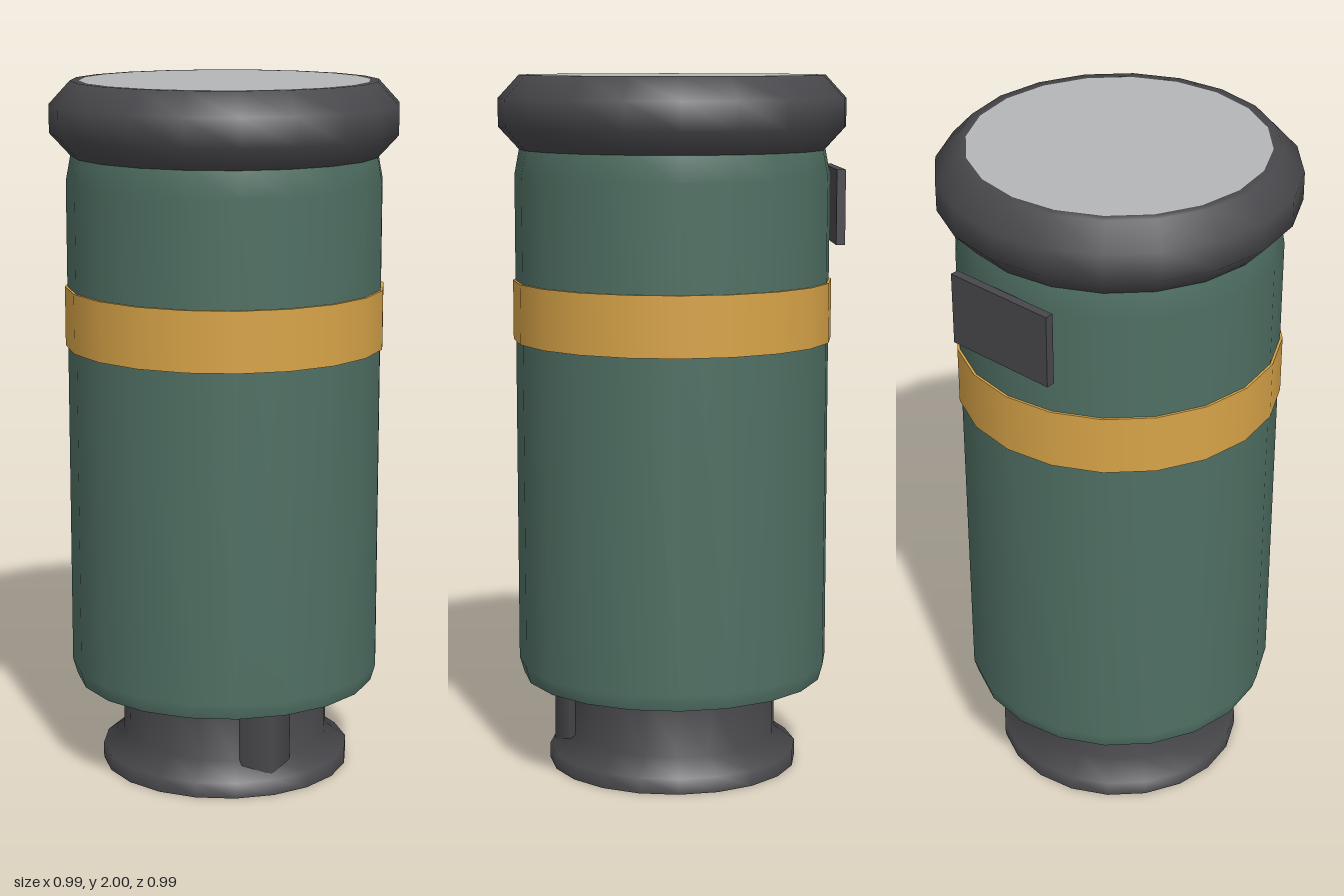
import * as THREE from 'three';

const SIDES = 20;

const material = (name, color, extra = {}) =>
  Object.assign(new THREE.MeshStandardMaterial({ color, ...extra }), { name });

export function createModel() {
  const green = material('green paint', 0x4f6f63);
  const dark = material('dark rubber', 0x48474b, { side: THREE.DoubleSide });
  const amber = material('amber band', 0xd8a448);
  const grey = material('pale grey', 0xb4b6b8);

  const model = new THREE.Group();
  model.name = 'canister';

  const add = (name, geometry, mat) => {
    const mesh = new THREE.Mesh(geometry, mat);
    mesh.name = name;
    model.add(mesh);
    return mesh;
  };
  // Turned part from [radius, height] pairs, bottom to top
  const turned = (name, profile, mat) =>
    add(name, new THREE.LatheGeometry(profile.map(([r, y]) => new THREE.Vector2(r, y)), SIDES), mat);
  // Flat disc facing up (dir = 1) or down (dir = -1)
  const disc = (name, radius, y, dir, mat) =>
    add(name, new THREE.CircleGeometry(radius, SIDES).rotateX(-dir * Math.PI / 2).translate(0, y, 0), mat);

  // Main body with slightly tapered ends
  turned('body', [[0.437, 0.265], [0.45, 0.31], [0.45, 1.72], [0.435, 1.8]], green);
  disc('bodyBottom', 0.437, 0.265, -1, green);

  // Coloured band standing just proud of the body
  turned('band', [[0.457, 1.25], [0.457, 1.42]], amber);
  for (const [y, dir] of [[1.25, -1], [1.42, 1]]) {
    const edge = new THREE.RingGeometry(0.44, 0.457, SIDES).rotateX(-dir * Math.PI / 2);
    add('bandEdge', edge.translate(0, y, 0), amber);
  }

  // Bevelled top rim and lid
  turned('topRim', [[0.42, 1.79], [0.435, 1.79], [0.495, 1.855], [0.495, 1.935], [0.435, 2], [0.41, 2]], dark);
  disc('lid', 0.41, 2, 1, grey);

  // Hollow neck flaring out to the foot
  turned('base', [[0.362, 0], [0.362, 0.045], [0.3, 0.09], [0.3, 0.265]], dark);

  // Six-sided pin set through the front wall of the neck
  const pin = add('pin', new THREE.CylinderGeometry(0.0866, 0.0866, 0.205, 6), dark);
  pin.position.set(0, 0.1625, 0.26);

  // Plate on the upper back
  const plate = add('backPlate', new THREE.BoxGeometry(0.34, 0.21, 0.025), dark);
  plate.position.set(0, 1.635, -0.4625);

  return model;
}
